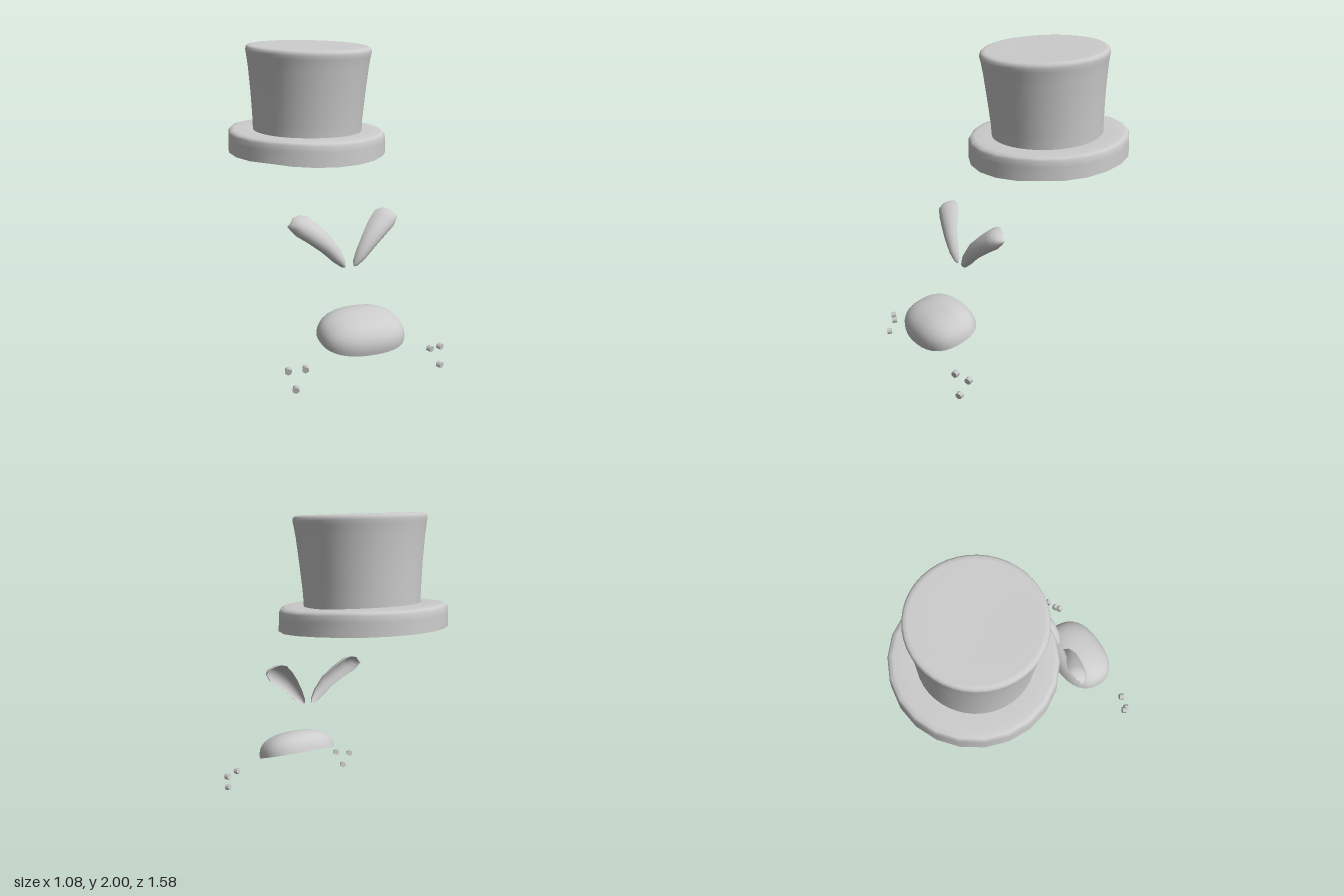
import * as THREE from 'three';
import { mergeVertices } from 'three/addons/utils/BufferGeometryUtils.js';

const V = (x, y, z) => new THREE.Vector3(x, y, z);
const grey = new THREE.MeshStandardMaterial({ color: 0xcccccc, side: THREE.DoubleSide });
grey.name = 'plain grey';

// Smooth skin through rows of points
function loft(name, rows) {
  const n = rows[0].length;
  const index = [];
  for (let i = 0; i < rows.length - 1; i++) {
    for (let j = 0; j < n - 1; j++) {
      const a = i * n + j, b = a + 1, c = a + n, d = c + 1;
      index.push(a, b, d, a, d, c);
    }
  }
  let geometry = new THREE.BufferGeometry().setFromPoints(rows.flat());
  geometry.setIndex(index);
  geometry = mergeVertices(geometry, 1e-5);
  geometry.computeVertexNormals();
  const mesh = new THREE.Mesh(geometry, grey);
  mesh.name = name;
  return mesh;
}

// Closed ring, starting at the front and running towards +x
function ring(sides, point) {
  return Array.from({ length: sides + 1 }, (_, j) => {
    const t = ((j % sides) / sides) * Math.PI * 2;
    return point(Math.sin(t), Math.cos(t));
  });
}

// Linear interpolation through [z, y] pairs with falling z
function heightAt(pairs, z) {
  for (let i = 1; i < pairs.length; i++) {
    const [z0, y0] = pairs[i - 1], [z1, y1] = pairs[i];
    if (z >= z1) return y0 + (y1 - y0) * (z - z0) / (z1 - z0);
  }
  return pairs[pairs.length - 1][1];
}

function createHat() {
  const hat = new THREE.Group();
  hat.name = 'hat';

  // Brim: underside and upper edge both sweep up towards the back
  const under = [[0.27, 1.24], [0.08, 1.263], [-0.1, 1.264], [-0.5, 1.294], [-0.79, 1.308]];
  const over = [[0.27, 1.392], [0.18, 1.402], [0, 1.407], [-0.3, 1.422], [-0.6, 1.448], [-0.79, 1.45]];
  const brimRing = (r, curve, lift = 0) => ring(22, (s, c) => {
    const z = -0.26 + r * c;
    return V(r * s, heightAt(curve, z) + lift, z);
  });
  hat.add(loft('brimUnderside', [0, 0.13, 0.26, 0.35, 0.44, 0.53].map((r) => brimRing(r, under))));
  hat.add(loft('brim', [
    brimRing(0.53, under),
    brimRing(0.528, over, -0.06),
    brimRing(0.526, over, -0.022),
    brimRing(0.515, over, -0.006),
    brimRing(0.49, over, 0.001),
    brimRing(0.42, over, 0.003),
    brimRing(0.35, over, 0.003),
  ]));

  // Crown rings: centre z, radius, height at front, height at back
  const crown = [
    [-0.248, 0.364, 1.39, 1.43], [-0.245, 0.368, 1.48, 1.53], [-0.234, 0.382, 1.65, 1.7],
    [-0.226, 0.4, 1.82, 1.87], [-0.222, 0.412, 1.9, 1.945], [-0.22, 0.417, 1.925, 1.97],
    [-0.221, 0.414, 1.945, 1.988], [-0.222, 0.402, 1.956, 1.997], [-0.223, 0.38, 1.961, 2],
    [-0.223, 0.25, 1.963, 1.993], [-0.223, 0, 1.976, 1.976],
  ];
  hat.add(loft('crown', crown.map(([cz, r, front, back]) =>
    ring(44, (s, c) => V(r * s, (front + back) / 2 + c * (front - back) / 2, cz + r * c)))));
  return hat;
}

// Muzzle: hollow rounded dome on a rim that tilts down to the front
function createMuzzle() {
  const p = 2.45;
  const ca = 0.956, sa = 0.294;
  const rows = [];
  for (let i = 0; i <= 12; i++) {
    const a = (i / 12) * Math.PI / 2;
    const flat = i === 12 ? 0 : Math.cos(a), up = Math.sin(a);
    rows.push(ring(36, (s, c) => {
      const x = flat * s, u = flat * c;
      const k = (Math.abs(x) ** p + Math.abs(u) ** p + up ** p) ** (-1 / p);
      const lx = 0.275 * k * x, lu = 0.204 * k * u, ln = 0.158 * k * up;
      return V(lx, 0.24 + ln * ca - lu * sa, 0.585 + lu * ca + ln * sa);
    }));
  }
  return loft('muzzle', rows);
}

// Brow: half shell, open at the back, swelling towards its outer end
function createBrow(side) {
  // spine x, spine y, half width, z of upper edge, ridge and lower edge
  const stations = [
    [0.03, 0.637, 0.004, 0.425, 0.43, 0.425],
    [0.042, 0.655, 0.022, 0.418, 0.445, 0.42],
    [0.08, 0.705, 0.041, 0.41, 0.457, 0.414],
    [0.145, 0.785, 0.056, 0.385, 0.452, 0.405],
    [0.22, 0.853, 0.066, 0.335, 0.43, 0.38],
    [0.285, 0.902, 0.071, 0.3, 0.409, 0.352],
    [0.322, 0.924, 0.056, 0.298, 0.392, 0.335],
    [0.352, 0.928, 0.034, 0.31, 0.36, 0.33],
    [0.355, 0.928, 0.028, 0.305, 0.325, 0.32],
  ];
  const rows = stations.map(([x, y, w, zUp, zRidge, zLow]) => {
    const row = [];
    for (let j = 0; j <= 10; j++) {
      const t = j / 10, a = Math.PI * t;
      const across = -Math.cos(a) * w;
      const edge = zUp + (zLow - zUp) * t;
      const z = edge + (zRidge - (zUp + zLow) / 2) * Math.sin(a);
      row.push(V(side * (x + 0.66 * across), y - 0.75 * across, z));
    }
    return side > 0 ? row : row.reverse();
  });
  return loft(side > 0 ? 'leftBrow' : 'rightBrow', rows);
}

// Whisker dots: three small hexagonal studs on each cheek
function createDots(side) {
  const dots = new THREE.Group();
  dots.name = side > 0 ? 'leftWhiskerDots' : 'rightWhiskerDots';
  const stud = new THREE.CylinderGeometry(0.022, 0.022, 0.03, 6);
  stud.rotateX(Math.PI / 2);
  for (const [x, y, z] of [[0.421, 0.136, 0.717], [0.515, 0.123, 0.678], [0.487, 0.023, 0.728]]) {
    const dot = new THREE.Mesh(stud, grey);
    dot.name = 'whiskerDot';
    dot.position.set(side * x, y, z);
    dot.rotation.set(0.15, side * 0.45, 0, 'YXZ');
    dots.add(dot);
  }
  return dots;
}

export function createModel() {
  const model = new THREE.Group();
  model.name = 'hatAndFace';
  model.add(createHat(), createMuzzle());
  for (const side of [1, -1]) model.add(createBrow(side), createDots(side));
  return model;
}
